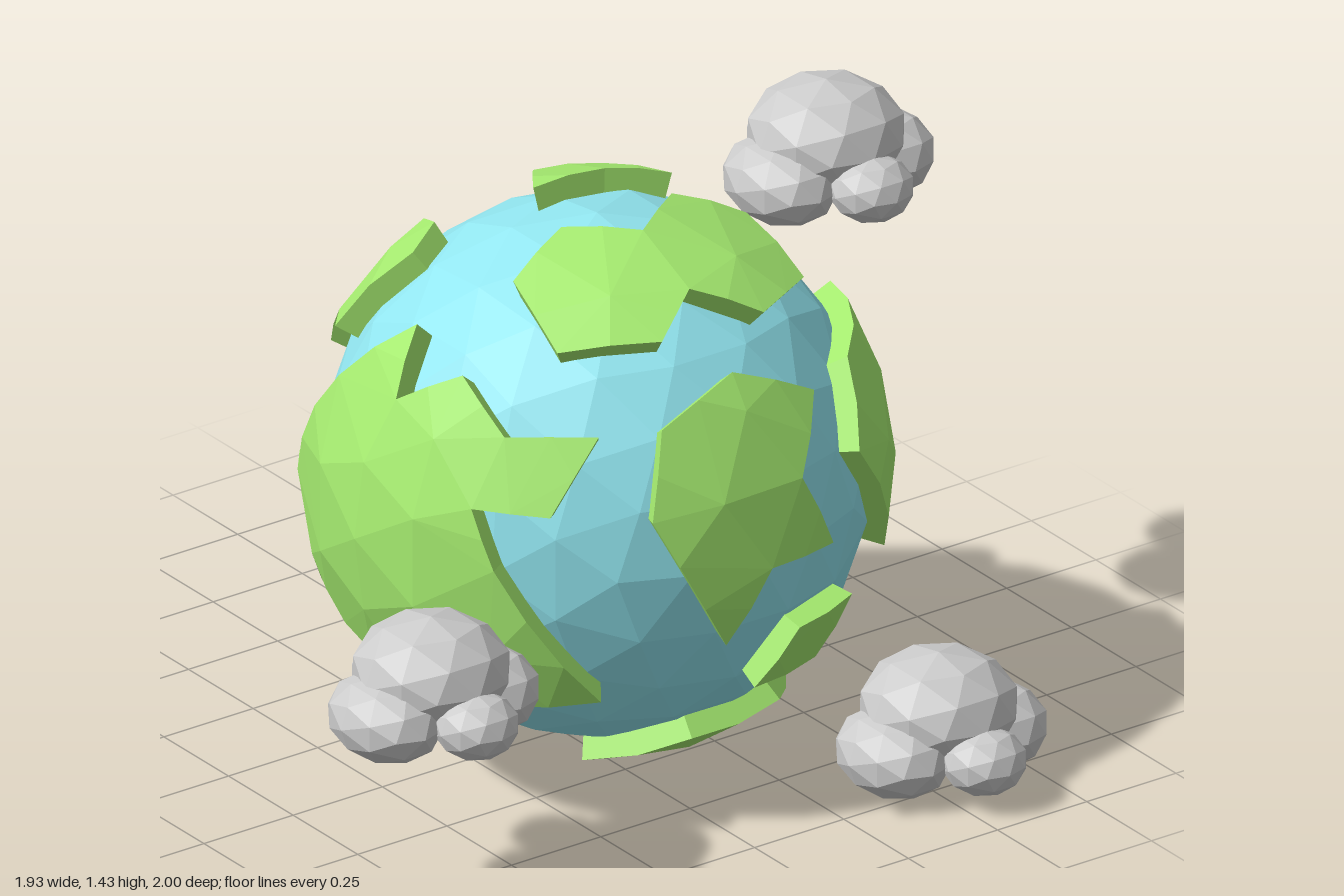
import * as THREE from 'three';
import { ConvexGeometry } from 'three/addons/geometries/ConvexGeometry.js';

const CENTRE = [0.085, 0.7, -0.04];
const SEA = 0.63, LAND = 0.68, WALL_FOOT = 0.6;

const material = (color) => new THREE.MeshStandardMaterial({ color, flatShading: true });

// Unit outline corners of each continent, as directions from the globe centre
const CONTINENTS = {
  frontContinent: [
    [-0.04, 0.7, 0.713], [0.05, 0.5, 0.865], [0.25, 0.63, 0.735], [0.48, 0.49, 0.73],
    [0.7, 0.51, 0.5], [0.68, 0.255, 0.685], [0.46, 0.25, 0.85], [0.557, 0.05, 0.83],
    [0.727, -0.46, 0.51], [0.27, -0.52, 0.81], [-0.25, -0.45, 0.857], [-0.42, -0.256, 0.87],
    [-0.46, -0.49, 0.74], [-0.8, -0.485, 0.35], [-0.84, -0.256, 0.48], [-0.78, -0.02, 0.62],
    [-0.56, -0.01, 0.83], [-0.42, 0.29, 0.86]],
  topContinent: [
    [0.172, 0.854, -0.491], [0.46, 0.72, -0.52], [0.632, 0.74, -0.23], [0.526, 0.851, 0],
    [0.632, 0.75, 0.19], [0.465, 0.73, 0.5], [0.165, 0.87, 0.465], [0.094, 0.97, 0.215],
    [0.262, 0.965, 0], [0.094, 0.966, -0.24]],
  topIsland: [
    [-0.14, 0.9, -0.41], [-0.39, 0.87, -0.305], [-0.42, 0.906, -0.04],
    [-0.2, 0.973, 0.118], [-0.19, 0.965, -0.17]],
  upperFrontIsland: [
    [-0.42, 0.83, 0.366], [-0.343, 0.788, 0.51], [-0.548, 0.482, 0.68], [-0.7, 0.45, 0.555],
    [-0.82, 0.27, 0.5], [-0.92, 0.29, 0.26], [-0.83, 0.54, 0.12]],
  rearRightContinent: [
    [-0.475, 0.218, -0.852], [-0.633, 0.593, -0.497], [-0.815, 0.43, -0.385],
    [-0.85, 0.178, -0.493], [-0.952, 0.22, -0.21], [-0.964, -0.13, -0.226],
    [-0.771, -0.617, -0.146], [-0.527, -0.54, -0.655], [-0.385, -0.484, -0.785],
    [-0.547, -0.038, -0.835]],
  rearLeftContinent: [
    [0.85, 0.242, -0.465], [0.67, 0.5, -0.545], [0.12, 0.47, -0.875], [0, -0.02, -1],
    [0.155, -0.28, -0.944], [0.63, -0.27, -0.73]],
  leftContinent: [
    [0.796, 0.52, 0.309], [0.77, 0.638, 0], [0.809, 0.5, -0.309], [0.951, 0.27, -0.16],
    [0.962, 0, -0.28], [1, 0, 0], [0.951, -0.26, 0.157], [0.885, 0.237, 0.41]],
  leftIsland: [
    [0.863, -0.504, -0.024], [0.947, -0.284, -0.15], [0.863, -0.27, -0.426], [0.814, -0.49, -0.31]],
  southContinent: [
    [0.67, -0.736, 0.094], [0.63, -0.715, -0.295], [0.04, -0.733, -0.678], [-0.12, -0.87, -0.48],
    [0, -0.985, -0.17], [0.378, -0.86, 0.335]],
  southIsland: [
    [-0.24, -0.84, -0.48], [-0.47, -0.74, -0.47], [-0.61, -0.74, -0.27], [-0.6, -0.75, 0.2],
    [-0.42, -0.87, 0.27], [-0.26, -0.965, 0.02], [-0.32, -0.91, -0.276]],
};

// Unit icosphere as a flat list of triangle corners, halving edges twice
function icosphereCorners() {
  const p = new THREE.IcosahedronGeometry(1, 1).getAttribute('position');
  const out = [];
  const mid = (a, b) => a.clone().add(b).normalize();
  for (let i = 0; i < p.count; i += 3) {
    const [a, b, c] = [0, 1, 2].map((k) => new THREE.Vector3().fromBufferAttribute(p, i + k).normalize());
    const ab = mid(a, b), bc = mid(b, c), ca = mid(c, a);
    out.push(a, ab, ca, ab, b, bc, ca, bc, c, ab, bc, ca);
  }
  return out;
}

function geometryFrom(points) {
  const g = new THREE.BufferGeometry().setFromPoints(points);
  g.computeVertexNormals();
  return g;
}

function insidePolygon(q, poly) {
  let inside = false;
  poly.forEach((a, i) => {
    const b = poly[(i + 1) % poly.length];
    if ((a.y > q.y) !== (b.y > q.y) && q.x < a.x + ((q.y - a.y) * (b.x - a.x)) / (b.y - a.y)) inside = !inside;
  });
  return inside;
}

// Raised faceted patch: icosphere points plus outline points, joined by their
// hull and kept only inside the outline, then closed with a wall down to the sea
function continentGeometry(corners, spherePoints) {
  let outline = corners.map((c) => new THREE.Vector3(...c).normalize());
  const axis = outline.reduce((s, v) => s.add(v), new THREE.Vector3()).normalize();
  const e1 = new THREE.Vector3(0.31, 0.47, 0.83).cross(axis).normalize();
  const e2 = axis.clone().cross(e1);
  const flat = (v) => new THREE.Vector2(v.dot(e1), v.dot(e2)).divideScalar(v.dot(axis));
  if (THREE.ShapeUtils.area(outline.map(flat)) < 0) outline = outline.reverse();

  const rim = [];
  outline.forEach((a, i) => {
    const b = outline[(i + 1) % outline.length];
    const n = Math.ceil(a.distanceTo(b) / 0.22);
    for (let k = 0; k < n; k++) rim.push(a.clone().lerp(b, k / n).normalize());
  });
  const inner = spherePoints.filter((p) => rim.every((r) => r.distanceTo(p) > 0.13));
  const hull = new ConvexGeometry([...inner, ...rim]).getAttribute('position');
  const polygon = rim.map(flat);

  const tris = [];
  for (let i = 0; i < hull.count; i += 3) {
    const t = [0, 1, 2].map((k) => new THREE.Vector3().fromBufferAttribute(hull, i + k));
    const middle = t[0].clone().add(t[1]).add(t[2]).normalize();
    if (middle.dot(axis) > 0.1 && insidePolygon(flat(middle), polygon)) {
      tris.push(...t.map((v) => v.multiplyScalar(LAND)));
    }
  }
  rim.forEach((a, i) => {
    const b = rim[(i + 1) % rim.length];
    const at = (v, r) => v.clone().multiplyScalar(r);
    tris.push(at(a, WALL_FOOT), at(b, WALL_FOOT), at(b, LAND), at(a, WALL_FOOT), at(b, LAND), at(a, LAND));
  });
  return geometryFrom(tris);
}

// Cloud: one flattened dome ringed by four smaller puffs, resting on its own y = 0
function makeCloud(name, x, y, z, mat) {
  const cloud = new THREE.Group();
  cloud.name = name;
  const puffs = [
    ['dome', -0.01, 0.175, 0, 0.187, 0.135, 0.187],
    ['frontPuff', 0, 0.1, 0.135, 0.155, 0.1, 0.125],
    ['backPuff', 0.01, 0.1, -0.135, 0.14, 0.1, 0.125],
    ['leftPuff', 0.165, 0.105, 0, 0.1, 0.078, 0.1],
    ['rightPuff', -0.165, 0.11, 0, 0.1, 0.072, 0.09],
  ];
  for (const [part, px, py, pz, sx, sy, sz] of puffs) {
    const puff = new THREE.Mesh(new THREE.IcosahedronGeometry(1, 1), mat);
    puff.name = part;
    puff.position.set(px, py, pz);
    puff.scale.set(sx, sy, sz);
    cloud.add(puff);
  }
  cloud.position.set(x, y, z);
  return cloud;
}

export function createModel() {
  const model = new THREE.Group();
  model.name = 'planet';
  const globe = new THREE.Group();
  globe.name = 'globe';
  globe.position.set(...CENTRE);
  model.add(globe);

  // Ocean
  const corners = icosphereCorners();
  const ocean = new THREE.Mesh(geometryFrom(corners.map((v) => v.clone().multiplyScalar(SEA))), material(0x92e6f0));
  ocean.name = 'ocean';
  globe.add(ocean);

  // Land
  const unique = new Map();
  corners.forEach((v) => unique.set(v.toArray().map((n) => Math.round(n * 1000) + 0).join(), v));
  const spherePoints = [...unique.values()];
  const landMaterial = material(0xa6ec70);
  for (const [name, outline] of Object.entries(CONTINENTS)) {
    const land = new THREE.Mesh(continentGeometry(outline, spherePoints), landMaterial);
    land.name = name;
    globe.add(land);
  }

  // Clouds
  const cloudMaterial = material(0xcccccc);
  model.add(
    makeCloud('frontCloud', 0.53, 0.395, 0.74, cloudMaterial),
    makeCloud('backCloud', 0.015, 1.125, -0.74, cloudMaterial),
    makeCloud('rightCloud', -0.7, 0.225, -0.225, cloudMaterial),
    makeCloud('leftCloud', 0.7, 0, -0.56, cloudMaterial),
  );
  return model;
}
